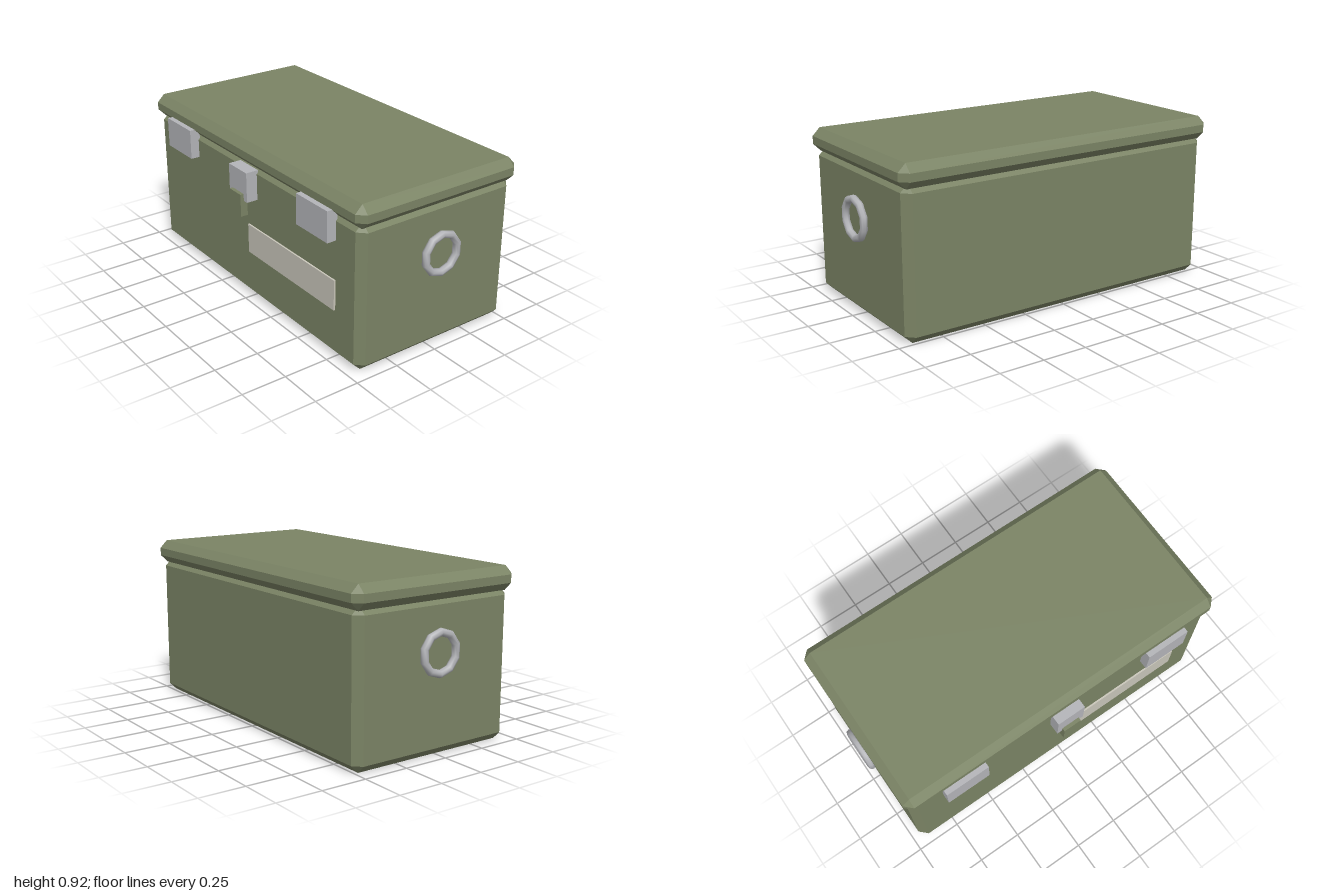
import * as THREE from 'three';
import { ConvexGeometry } from 'three/addons/geometries/ConvexGeometry.js';

const mat = (name, color) => {
  const m = new THREE.MeshStandardMaterial({ color });
  m.name = name;
  return m;
};

// Box with 45 degree chamfers on every edge: each corner becomes three points
function chamferBox(w, h, d, c) {
  const points = [];
  for (const sx of [-1, 1]) for (const sy of [-1, 1]) for (const sz of [-1, 1]) {
    for (let axis = 0; axis < 3; axis++) {
      points.push(new THREE.Vector3(
        sx * (w / 2 - (axis === 0 ? 0 : c)),
        sy * (h / 2 - (axis === 1 ? 0 : c)),
        sz * (d / 2 - (axis === 2 ? 0 : c))));
    }
  }
  return new ConvexGeometry(points);
}

export function createModel() {
  const group = new THREE.Group();
  const olive = mat('olive paint', 0x7b8465);
  const metal = mat('grey metal', 0xb4b5b9);
  const cream = mat('cream label', 0xc9c6ba);

  const add = (name, geometry, material, x, y, z) => {
    const mesh = new THREE.Mesh(geometry, material);
    mesh.name = name;
    mesh.position.set(x, y, z);
    group.add(mesh);
    return mesh;
  };
  // Box given by its extents
  const addBox = (name, material, [x0, x1], [y0, y1], [z0, z1]) =>
    add(name, new THREE.BoxGeometry(x1 - x0, y1 - y0, z1 - z0), material,
      (x0 + x1) / 2, (y0 + y1) / 2, (z0 + z1) / 2);

  const midZ = -0.031;

  // Chest body and overhanging lid
  add('body', chamferBox(1.912, 0.811, 0.979, 0.0425), olive, 0, 0.4055, midZ);
  add('lid', chamferBox(1.955, 0.128, 1.022, 0.0425), olive, 0, 0.852, midZ);

  // Front latches and side ring handles, mirrored
  for (const s of [-1, 1]) {
    const side = s > 0 ? 'left' : 'right';
    addBox(side + 'Latch', metal, [s * 0.638 - 0.127, s * 0.638 + 0.127], [0.665, 0.833], [0.45, 0.51]);
    const ring = new THREE.TorusGeometry(0.105, 0.021, 8, 10);
    ring.rotateZ(Math.PI / 2).rotateY(Math.PI / 2);
    add(side + 'RingHandle', ring, metal, s * 0.979, 0.534, midZ);
  }

  // Centre hasp with its lock block
  addBox('hasp', metal, [-0.084, 0.084], [0.621, 0.789], [0.45, 0.523]);
  addBox('lock', olive, [-0.053, 0.053], [0.534, 0.661], [0.501, 0.543]);

  // Label plate
  addBox('label', cream, [0, 0.765], [0.281, 0.449], [0.4585, 0.468]);

  return group;
}
